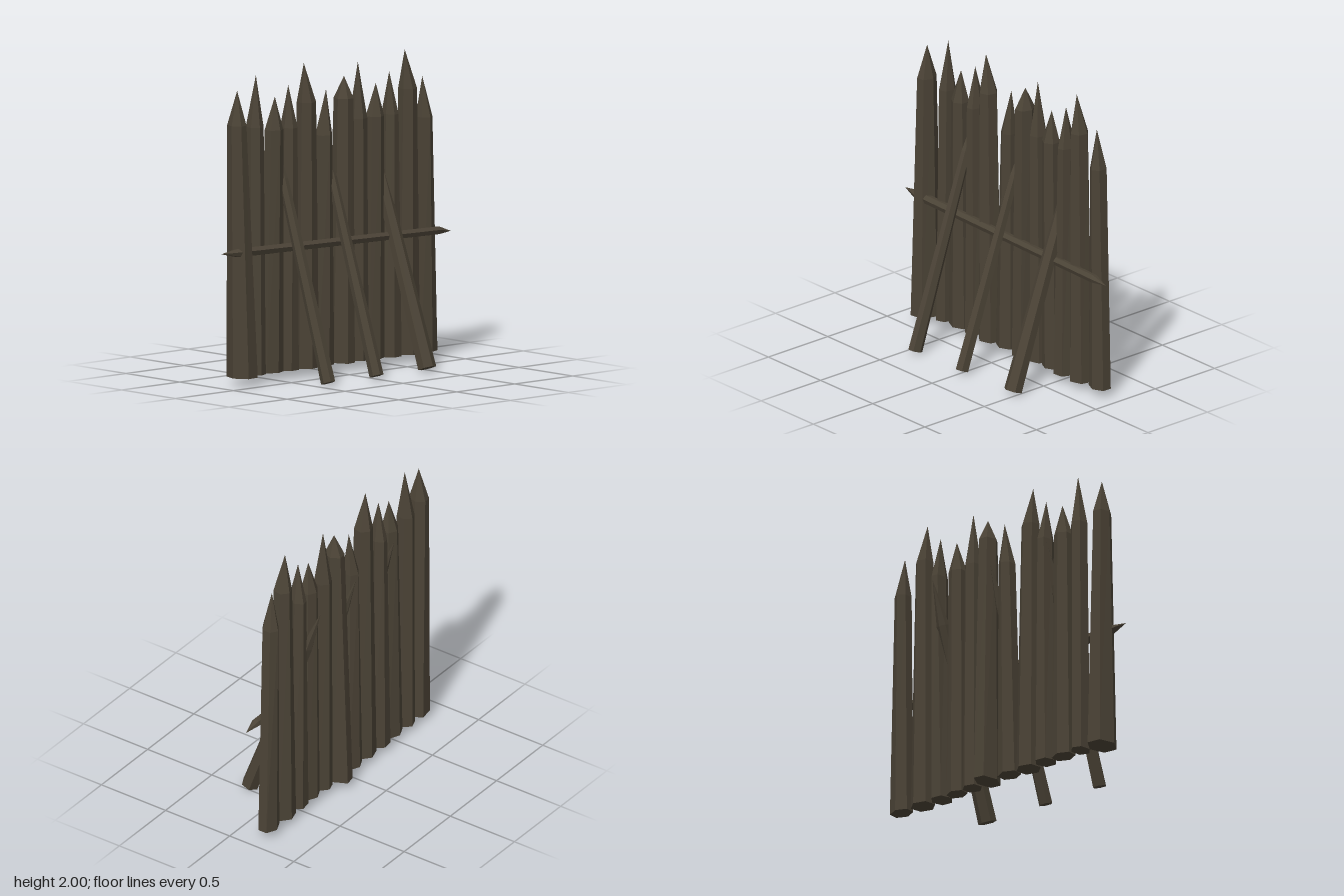
import * as THREE from 'three';

const wood = new THREE.MeshStandardMaterial({ color: 0x4b4336, flatShading: true });
wood.name = 'darkWood';

// Unit polygon stretched so that it reaches exactly +-1 both ways
function unitRing(sides, twist) {
  const ring = [];
  for (let i = 0; i < sides; i++) {
    const a = twist + (i / sides) * Math.PI * 2;
    ring.push([Math.cos(a), Math.sin(a)]);
  }
  for (const k of [0, 1]) {
    const v = ring.map((p) => p[k]);
    const lo = Math.min(...v), hi = Math.max(...v);
    ring.forEach((p) => { p[k] = ((p[k] - lo) / (hi - lo)) * 2 - 1; });
  }
  return ring;
}

// Skins a pole through sections { c: centre, u, w: half extents }, ending in closed caps.
// U and W span the cross-section and U x W points along the pole.
function pole(name, sections, U, W, sides, twist) {
  const ring = unitRing(sides, twist);
  const loops = sections.map(({ c, u, w }) => ring.map(([a, b]) =>
    new THREE.Vector3(...c).addScaledVector(U, a * u).addScaledVector(W, b * w)));
  const pos = [];
  const tri = (...pts) => pts.forEach((p) => pos.push(p.x, p.y, p.z));
  for (let s = 0; s < loops.length - 1; s++) {
    const A = loops[s], B = loops[s + 1];
    for (let i = 0; i < sides; i++) {
      const j = (i + 1) % sides;
      if (sections[s].u > 0) tri(A[i], A[j], B[j]);
      if (sections[s + 1].u > 0) tri(A[i], B[j], B[i]);
    }
  }
  const first = loops[0], last = loops[loops.length - 1];
  for (let i = 1; i < sides - 1; i++) {
    if (sections[0].u > 0) tri(first[0], first[i + 1], first[i]);
    if (sections[sections.length - 1].u > 0) tri(last[0], last[i], last[i + 1]);
  }
  const g = new THREE.BufferGeometry();
  g.setAttribute('position', new THREE.Float32BufferAttribute(pos, 3));
  g.computeVertexNormals();
  const m = new THREE.Mesh(g, wood);
  m.name = name;
  return m;
}

// Upright stakes: base x0, x1 | shoulder x0, x1, y | tip x, y | base z, half depth | top z
const STAKES = [
  [-0.88, -0.70, -0.865, -0.76, 1.66, -0.81, 1.88, -0.145, 0.1, -0.17],
  [-0.70, -0.585, -0.69, -0.59, 1.63, -0.63, 1.96, -0.18, 0.07, -0.19],
  [-0.575, -0.43, -0.545, -0.44, 1.60, -0.485, 1.81, -0.18, 0.065, -0.17],
  [-0.43, -0.29, -0.40, -0.31, 1.60, -0.36, 1.87, -0.185, 0.067, -0.18],
  [-0.29, -0.13, -0.275, -0.16, 1.75, -0.24, 2.0, -0.175, 0.077, -0.165],
  [-0.13, 0.01, -0.09, 0.0, 1.52, -0.025, 1.81, -0.185, 0.067, -0.19],
  [0.04, 0.18, 0.06, 0.175, 1.74, 0.12, 1.88, -0.20, 0.1, -0.18],
  [0.185, 0.31, 0.19, 0.295, 1.60, 0.24, 1.96, -0.183, 0.063, -0.18],
  [0.315, 0.44, 0.325, 0.43, 1.60, 0.385, 1.81, -0.178, 0.06, -0.17],
  [0.44, 0.58, 0.475, 0.56, 1.60, 0.51, 1.87, -0.17, 0.07, -0.18],
  [0.58, 0.74, 0.60, 0.71, 1.75, 0.63, 2.0, -0.175, 0.077, -0.165],
  [0.76, 0.90, 0.77, 0.86, 1.55, 0.80, 1.81, -0.183, 0.063, -0.185],
];

// Leaning props: foot x, z | tip x, y, z | foot radius
const PROPS = [
  [-0.428, 0.265, -0.42, 1.57, -0.26, 0.042],
  [0.003, 0.25, 0.02, 1.53, -0.28, 0.042],
  [0.463, 0.225, 0.46, 1.52, -0.32, 0.053],
];

export function createModel() {
  const model = new THREE.Group();
  const X = new THREE.Vector3(1, 0, 0);

  // Row of sharpened stakes
  const fence = new THREE.Group();
  fence.name = 'stakes';
  const back = new THREE.Vector3(0, 0, -1);
  STAKES.forEach(([a, b, c, d, sy, tx, ty, z, h, tz], i) => {
    fence.add(pole('stake' + (i + 1), [
      { c: [(a + b) / 2, 0.05, z], u: (b - a) / 2, w: h },
      { c: [(c + d) / 2, sy, tz], u: (d - c) / 2, w: 0.052 + h * 0.12 },
      { c: [tx, ty, tz], u: 0, w: 0 },
    ], X, back, 6, 0.12 + (i % 3) * 0.2));
  });
  model.add(fence);

  // Props slanting back through the row
  const props = new THREE.Group();
  props.name = 'props';
  PROPS.forEach(([x, z, tx, ty, tz, r], i) => {
    const foot = new THREE.Vector3(x, 0.02, z), tip = new THREE.Vector3(tx, ty, tz);
    const axis = tip.clone().sub(foot).normalize();
    const W = new THREE.Vector3().crossVectors(axis, X).normalize();
    const U = new THREE.Vector3().crossVectors(W, axis);
    const shoulder = foot.clone().lerp(tip, 0.81);
    props.add(pole('prop' + (i + 1), [
      { c: foot.toArray(), u: r, w: r * 1.1 },
      { c: shoulder.toArray(), u: r * 0.7, w: r * 0.75 },
      { c: tip.toArray(), u: 0, w: 0 },
    ], U, W, 6, 0.1 + i * 0.2));
  });
  model.add(props);

  // Cross rail, pointed at both ends
  model.add(pole('crossRail', [
    { c: [-0.98, 0.855, -0.135], u: 0, w: 0 },
    { c: [-0.84, 0.852, -0.12], u: 0.03, w: 0.033 },
    { c: [0.86, 0.825, -0.105], u: 0.027, w: 0.03 },
    { c: [0.975, 0.81, -0.108], u: 0, w: 0 },
  ], new THREE.Vector3(0, 1, 0), new THREE.Vector3(0, 0, 1), 6, 0.3));

  return model;
}
